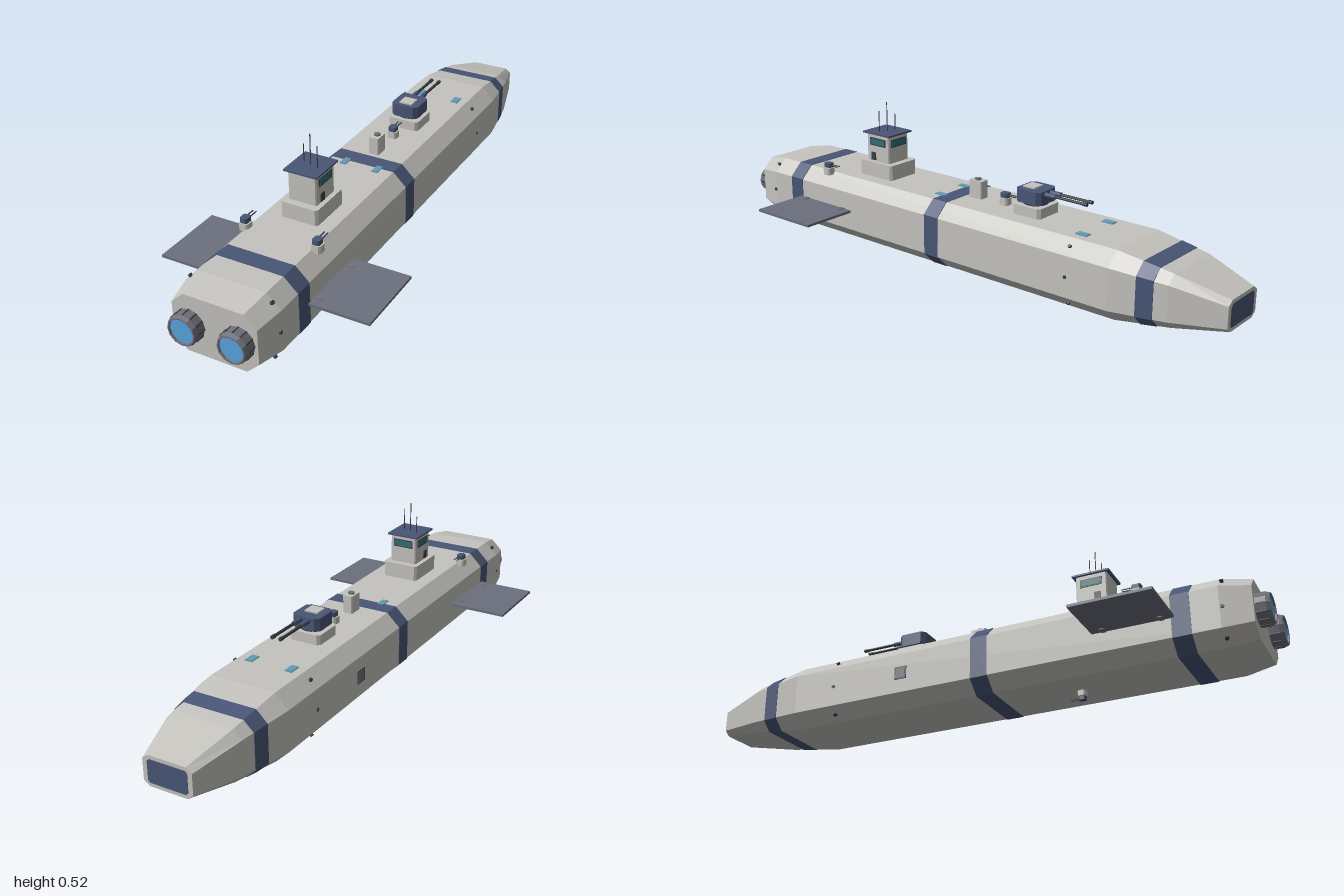
import * as THREE from 'three';

const mat = (color) => new THREE.MeshStandardMaterial({ color, flatShading: true });
const M = {
  hull: mat(0xc4c3be), navy: mat(0x485676), dark: mat(0x3a3d44), metal: mat(0x70727a),
  wing: mat(0x6b707e), glow: mat(0x5aa5e0), glass: mat(0x2f7078), tile: mat(0x5f9ab5),
};

// hull stations: z, half width, bottom, top, corner cut across, corner cut up
const STATIONS = [
  [-1.0, 0.086, 0.082, 0.182, 0.02, 0.015],
  [-0.83, 0.133, 0.057, 0.229, 0.03, 0.028],
  [-0.64, 0.162, 0.031, 0.259, 0.047, 0.045],
  [0.86, 0.162, 0.031, 0.259, 0.047, 0.045],
  [0.955, 0.144, 0.045, 0.242, 0.042, 0.04],
];

// station values at any z, grown outward by g
function stationAt(z, g = 0) {
  let i = 0;
  while (i < STATIONS.length - 2 && z > STATIONS[i + 1][0]) i++;
  const a = STATIONS[i], b = STATIONS[i + 1], t = (z - a[0]) / (b[0] - a[0]);
  const s = a.map((v, k) => v + (b[k] - v) * t);
  return [z, s[1] + g, s[2] - g, s[3] + g, s[4], s[5]];
}

// eight-sided loft through stations in order of rising z
function loft(stations) {
  const rings = stations.map(([z, w, lo, hi, cx, cy]) => [
    [w, lo + cy, z], [w, hi - cy, z], [w - cx, hi, z], [cx - w, hi, z],
    [-w, hi - cy, z], [-w, lo + cy, z], [cx - w, lo, z], [w - cx, lo, z],
  ]);
  const pos = [];
  const tri = (...p) => p.forEach((q) => pos.push(...q));
  for (let r = 0; r < rings.length - 1; r++) {
    const a = rings[r], b = rings[r + 1];
    for (let i = 0; i < 8; i++) {
      const j = (i + 1) % 8;
      tri(a[i], a[j], b[j]);
      tri(a[i], b[j], b[i]);
    }
  }
  const first = rings[0], last = rings[rings.length - 1];
  for (let i = 1; i < 7; i++) {
    tri(first[0], first[i + 1], first[i]);
    tri(last[0], last[i], last[i + 1]);
  }
  const g = new THREE.BufferGeometry();
  g.setAttribute('position', new THREE.Float32BufferAttribute(pos, 3));
  g.computeVertexNormals();
  return g;
}

function add(parent, name, geo, material, x = 0, y = 0, z = 0) {
  const m = new THREE.Mesh(geo, material);
  m.name = name;
  m.position.set(x, y, z);
  parent.add(m);
  return m;
}
const box = (p, name, m, w, h, d, x, y, z) => add(p, name, new THREE.BoxGeometry(w, h, d), m, x, y, z);

// upright block with cut corners in plan, standing on y
function block(p, name, m, w, h, d, c, x, y, z) {
  const a = w / 2, b = d / 2;
  const s = new THREE.Shape([
    [a, c - b], [a, b - c], [a - c, b], [c - a, b], [-a, b - c], [-a, c - b], [c - a, -b], [a - c, -b],
  ].map(([u, v]) => new THREE.Vector2(u, v)));
  const g = new THREE.ExtrudeGeometry(s, { depth: h, bevelEnabled: false }).rotateX(-Math.PI / 2);
  return add(p, name, g, m, x, y, z);
}
// rod along z or y, centred
function rod(p, name, m, r, len, x, y, z, axis = 'z', sides = 8) {
  const g = new THREE.CylinderGeometry(r, r, len, sides);
  if (axis === 'z') g.rotateX(Math.PI / 2);
  if (axis === 'x') g.rotateZ(Math.PI / 2);
  return add(p, name, g, m, x, y, z);
}
function group(parent, name, x = 0, y = 0, z = 0) {
  const g = new THREE.Group();
  g.name = name;
  g.position.set(x, y, z);
  parent.add(g);
  return g;
}

// small twin gun on a pedestal
function smallGun(parent, name, x, y, z, s = 1) {
  const g = group(parent, name, x, y, z);
  block(g, 'gunPedestal', M.hull, 0.034, 0.026, 0.034, 0.006, 0, 0, 0);
  block(g, 'gunHead', M.navy, 0.026, 0.016, 0.03, 0.005, 0, 0.027, 0);
  for (const k of [-1, 1]) rod(g, 'gunBarrel', M.dark, 0.002, 0.04, k * 0.006, 0.036, -0.03, 'z', 6);
  g.scale.setScalar(s);
  return g;
}

export function createModel() {
  const ship = new THREE.Group();
  ship.name = 'ship';

  // hull, painted bands and bow window
  add(ship, 'hull', loft(STATIONS), M.hull);
  for (const [z0, z1] of [[-0.785, -0.73], [0.04, 0.1], [0.712, 0.772]])
    add(ship, 'hullBand', loft([stationAt(z0, 0.0015), stationAt(z1, 0.0015)]), M.navy);
  add(ship, 'bowWindow', loft([[-1.001, 0.07, 0.094, 0.17, 0.008, 0.008], [-0.99, 0.07, 0.094, 0.17, 0.008, 0.008]]), M.navy);

  // engines: open nozzle ring with a glowing disc
  for (const k of [-1, 1]) {
    const e = group(ship, 'engine', k * 0.084, 0.145, 0.95);
    const profile = [[0.046, 0], [0.051, 0.004], [0.051, 0.038], [0.047, 0.05], [0.042, 0.05], [0.04, 0.03]]
      .map(([r, y]) => new THREE.Vector2(r, y));
    add(e, 'nozzle', new THREE.LatheGeometry(profile, 12).rotateX(Math.PI / 2), M.metal).material.side = THREE.DoubleSide;
    add(e, 'engineGlow', new THREE.CircleGeometry(0.0425, 24), M.glow, 0, 0, 0.044);
    for (let i = 0; i < 12; i++) {
      const a = (i / 12) * Math.PI * 2;
      box(e, 'nozzleRib', M.dark, 0.004, 0.004, 0.03, Math.cos(a) * 0.05, Math.sin(a) * 0.05, 0.021);
    }
  }

  // side fins with hinge blocks
  for (const k of [-1, 1]) {
    box(ship, 'fin', M.wing, 0.205, 0.009, 0.262, k * 0.2625, 0.145, 0.591);
    for (const z of [0.5, 0.685]) box(ship, 'finHinge', M.metal, 0.03, 0.014, 0.016, k * 0.174, 0.145, z);
  }

  // bridge tower
  const tower = group(ship, 'tower', 0, 0.257, 0.425);
  block(tower, 'towerBase', M.hull, 0.132, 0.056, 0.158, 0.008, 0, 0, 0);
  block(tower, 'towerBody', M.hull, 0.1, 0.1, 0.108, 0.004, 0, 0.056, 0);
  box(tower, 'towerRoof', M.navy, 0.118, 0.006, 0.128, 0, 0.159, 0);
  for (const k of [-1, 1]) {
    box(tower, 'windowFrame', M.dark, 0.003, 0.028, 0.076, k * 0.0505, 0.128, 0);
    box(tower, 'sideWindow', M.glass, 0.003, 0.02, 0.068, k * 0.0515, 0.128, 0);
    box(tower, 'sideVent', M.dark, 0.006, 0.028, 0.02, k * 0.051, 0.074, 0.02);
  }
  box(tower, 'frontWindowFrame', M.dark, 0.076, 0.028, 0.003, 0, 0.128, -0.0545);
  box(tower, 'frontWindow', M.glass, 0.068, 0.02, 0.003, 0, 0.128, -0.0555);
  for (const [x, h] of [[-0.03, 0.062], [0, 0.107], [0.03, 0.078]])
    rod(tower, 'antenna', M.dark, 0.0016, h, x, 0.16 + h / 2, x / 3, 'y', 6);

  // main turret
  const turret = group(ship, 'mainTurret', 0, 0.257, -0.248);
  block(turret, 'turretBase', M.hull, 0.114, 0.036, 0.112, 0.01, 0, 0, 0);
  rod(turret, 'turretRing', M.dark, 0.042, 0.008, 0, 0.04, 0, 'y', 16);
  block(turret, 'turretHead', M.navy, 0.1, 0.044, 0.1, 0.014, 0, 0.044, 0);
  box(turret, 'turretHatch', M.hull, 0.048, 0.006, 0.046, 0, 0.09, 0.012);
  for (const k of [-1, 1]) {
    rod(turret, 'barrelSleeve', M.navy, 0.008, 0.05, k * 0.015, 0.077, -0.065);
    rod(turret, 'barrel', M.dark, 0.005, 0.16, k * 0.015, 0.077, -0.128);
    rod(turret, 'muzzle', M.dark, 0.0065, 0.016, k * 0.015, 0.077, -0.204);
  }

  // small guns on deck, shoulders and keel
  smallGun(ship, 'deckGun', 0, 0.257, -0.122);
  for (const k of [-1, 1]) smallGun(ship, 'shoulderGun', k * 0.127, 0.25, 0.603);
  const keel = smallGun(ship, 'keelGun', 0, 0.033, 0.36, 0.77);
  keel.scale.y *= -1;

  // vent stack
  block(ship, 'ventStack', M.hull, 0.036, 0.064, 0.054, 0.003, 0, 0.257, -0.003);
  rod(ship, 'ventCap', M.metal, 0.011, 0.008, 0, 0.323, -0.003, 'y', 12);

  // deck lights, thrusters on the chamfers and side, side hatch
  for (const k of [-1, 1]) {
    box(ship, 'deckLight', M.tile, 0.022, 0.006, 0.042, k * 0.06, 0.259, 0.11);
    box(ship, 'deckLight', M.tile, 0.026, 0.006, 0.042, k * 0.073, 0.259, -0.486);
    for (const z of [-0.485, 0.868]) {
      rod(ship, 'sideThruster', M.dark, 0.006, 0.008, k * 0.161, 0.145, z, 'x');
      for (const y of [0.239, 0.051]) {
        const t = rod(ship, 'cornerThruster', M.dark, 0.006, 0.01, k * 0.139, y, z, 'x');
        t.rotation.z = k * (y > 0.145 ? 1 : -1) * Math.PI / 4;
      }
    }
  }
  box(ship, 'sideHatch', M.dark, 0.004, 0.044, 0.044, -0.162, 0.145, -0.22);
  box(ship, 'sideHatchDoor', M.metal, 0.004, 0.036, 0.036, -0.163, 0.145, -0.22);

  return ship;
}
